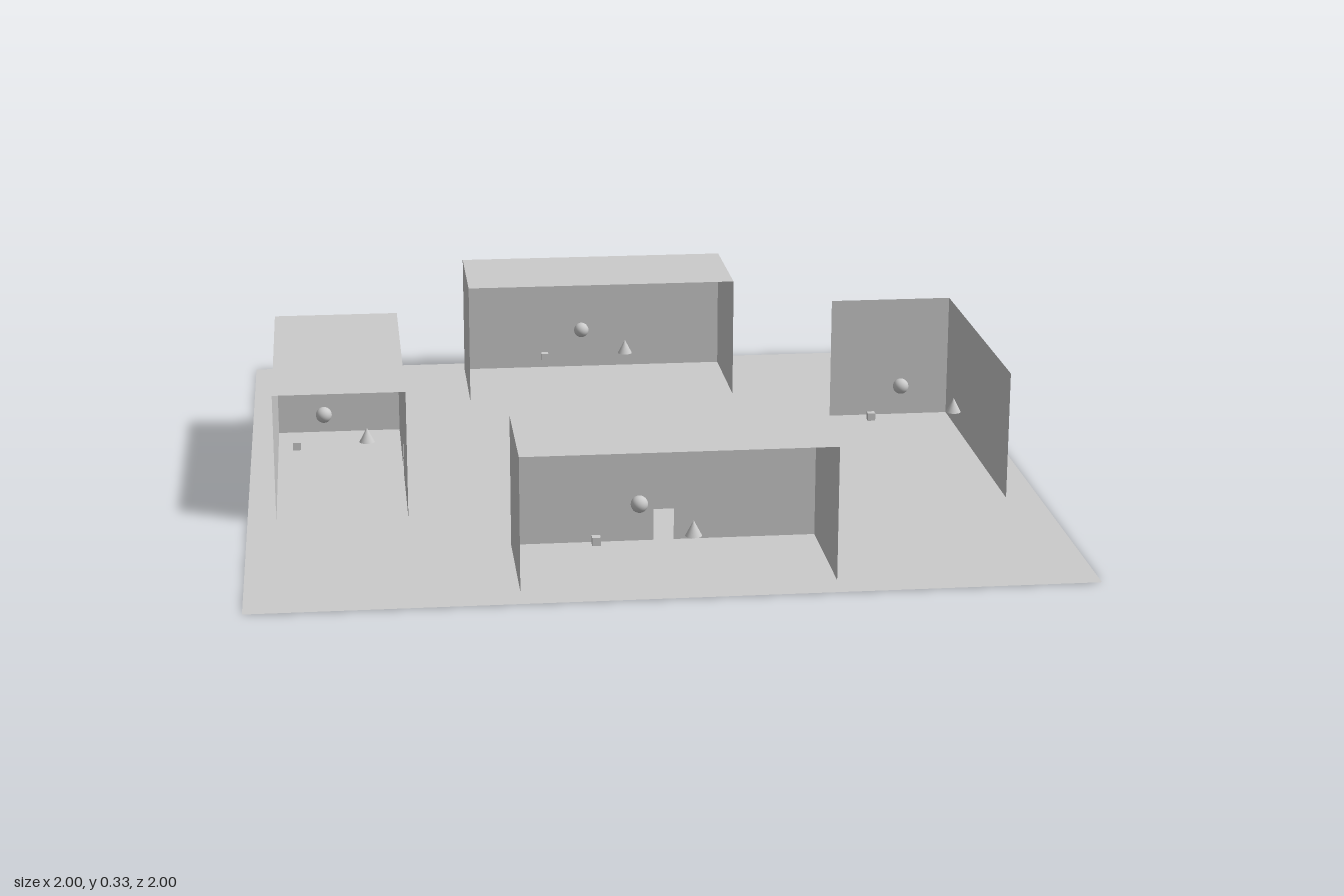
import * as THREE from 'three';

const mat = new THREE.MeshStandardMaterial({ color: 0xcccccc, side: THREE.DoubleSide });
const H = 0.33;

function mesh(geometry, name, x, y, z) {
  const m = new THREE.Mesh(geometry, mat);
  m.name = name;
  m.position.set(x, y, z);
  return m;
}

// Thin upright wall, optionally notched by a doorway at the middle of its foot
function wallGeometry(width, door) {
  const s = new THREE.Shape();
  const w = width / 2;
  s.moveTo(-w, 0);
  if (door) {
    s.lineTo(-0.025, 0);
    s.lineTo(-0.025, 0.08);
    s.lineTo(0.025, 0.08);
    s.lineTo(0.025, 0);
  }
  s.lineTo(w, 0);
  s.lineTo(w, H);
  s.lineTo(-w, H);
  return new THREE.ShapeGeometry(s);
}

function slab(w, d, name, x, y, z) {
  return mesh(new THREE.PlaneGeometry(w, d).rotateX(-Math.PI / 2), name, x, y, z);
}

// A room shell: listed walls only, one of them with a doorway
function room({ name, x, z, w, d, walls, door, roof }) {
  const g = new THREE.Group();
  g.name = name;
  g.position.set(x, 0, z);
  const sides = {
    front: [0, d / 2, w, 0],
    back: [0, -d / 2, w, Math.PI],
    left: [w / 2, 0, d, Math.PI / 2],
    right: [-w / 2, 0, d, -Math.PI / 2],
  };
  for (const side of walls) {
    const [px, pz, width, turn] = sides[side];
    const wall = mesh(wallGeometry(width, side === door), side + 'Wall', px, 0, pz);
    wall.rotation.y = turn;
    g.add(wall);
  }
  g.add(slab(w, d, 'floor', 0, 0, 0));
  if (roof) g.add(slab(w, d, 'roof', 0, H, 0));
  return g;
}

// Small cube, ball and cone floating inside a room
function ornaments(cube, ball, cone) {
  const g = new THREE.Group();
  g.name = 'ornaments';
  g.add(
    mesh(new THREE.BoxGeometry(0.02, 0.02, 0.02), 'cube', cube[0], 0.11, cube[1]),
    mesh(new THREE.SphereGeometry(0.021, 24, 16), 'ball', ball[0], 0.12, ball[1]),
    mesh(new THREE.ConeGeometry(0.02, 0.038, 24), 'cone', cone[0], 0.115, cone[1])
  );
  return g;
}

export function createModel() {
  const model = new THREE.Group();
  model.name = 'courtyard';
  model.add(slab(2, 2, 'ground', 0, 0.001, 0));

  const long = 0.745, short = 0.327;
  const rooms = [
    { name: 'frontRoom', x: 0.0125, z: 0.758, w: long, d: short, walls: ['back', 'left', 'right'], door: 'back', roof: true },
    { name: 'backRoom', x: -0.0225, z: -0.776, w: long, d: short, walls: ['back', 'left', 'right'], roof: true },
    { name: 'rightRoom', x: -0.765, z: 0, w: short, d: long, walls: ['left', 'right', 'back'], door: 'left', roof: true },
    { name: 'leftRoom', x: 0.752, z: 0, w: short, d: long, walls: ['left', 'back'], roof: false },
  ];
  rooms.forEach((r) => model.add(room(r)));

  model.add(
    ornaments([-0.18, 0.89], [-0.055, 0.67], [0.055, 0.84]),
    ornaments([-0.18, -0.67], [-0.055, -0.905], [0.055, -0.735]),
    ornaments([-0.875, 0.087], [-0.805, -0.14], [-0.695, 0.03]),
    ornaments([0.635, -0.01], [0.76, -0.242], [0.87, -0.07])
  );
  return model;
}
